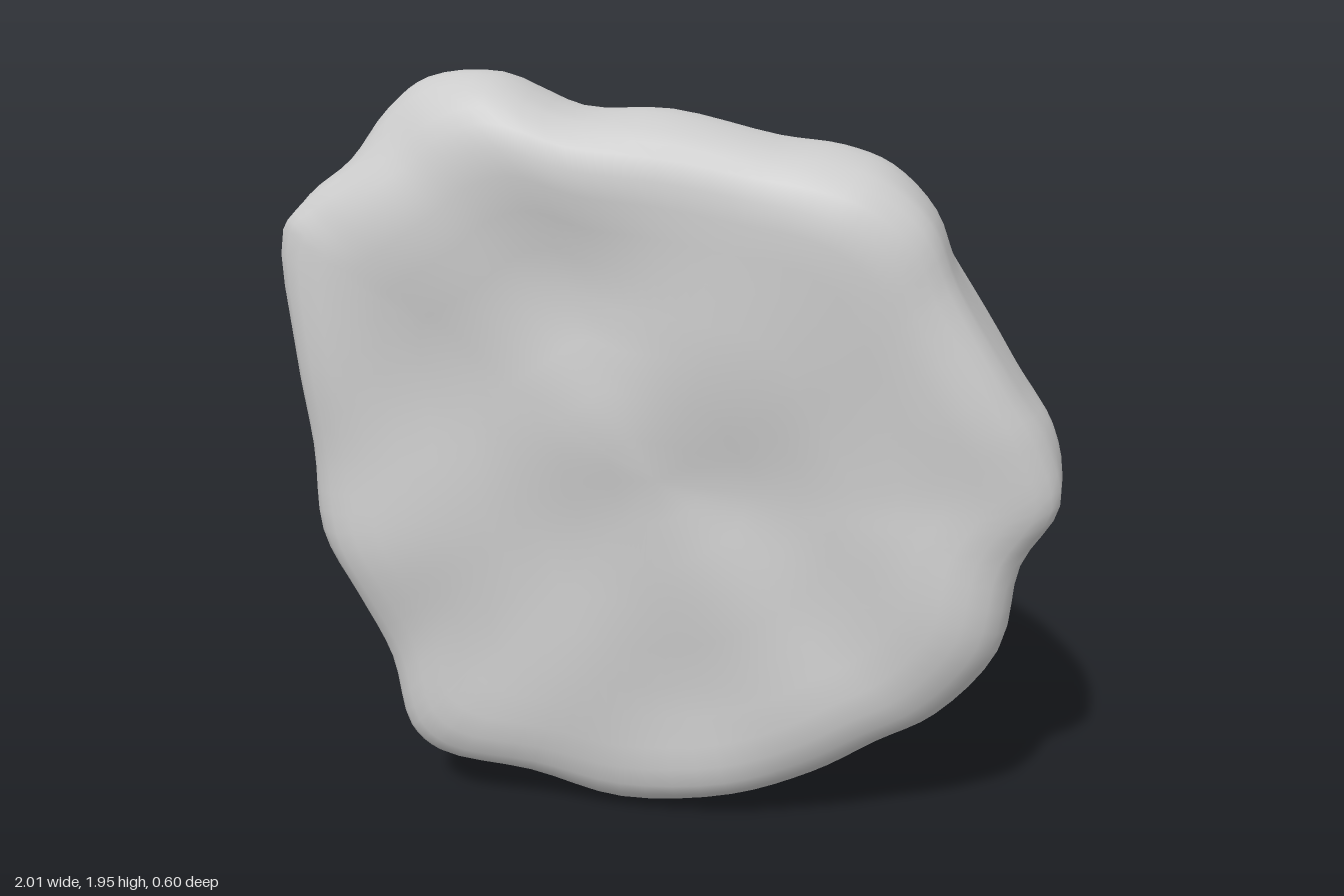
import * as THREE from 'three';

// Outlines of the slab at three depths, counter-clockwise (x, y), point for point
const MIDDLE = [
  [1, 0.95], [0.975, 1.1], [0.89, 1.22], [0.725, 1.47], [0.66, 1.63], [0.55, 1.74], [0.43, 1.785], [0.27, 1.805],
  [0, 1.865], [-0.23, 1.87], [-0.43, 1.95], [-0.61, 1.935], [-0.71, 1.865], [-0.81, 1.735], [-0.93, 1.64],
  [-1, 1.53], [-0.97, 1.25], [-0.935, 1], [-0.94, 0.75], [-0.84, 0.58], [-0.75, 0.4], [-0.71, 0.19],
  [-0.64, 0.12], [-0.37, 0.08], [-0.11, 0], [0.2, 0.05], [0.42, 0.14], [0.58, 0.25], [0.73, 0.34],
  [0.88, 0.54], [0.915, 0.78],
];
const FRONT = [
  [0.99, 0.94], [0.94, 1.1], [0.86, 1.23], [0.715, 1.47], [0.645, 1.62], [0.53, 1.71], [0.41, 1.75], [0.26, 1.775],
  [0, 1.82], [-0.23, 1.845], [-0.43, 1.9], [-0.57, 1.86], [-0.67, 1.78], [-0.78, 1.705], [-0.88, 1.64],
  [-0.955, 1.575], [-0.945, 1.25], [-0.92, 1], [-0.9, 0.77], [-0.815, 0.59], [-0.735, 0.41], [-0.69, 0.21],
  [-0.61, 0.14], [-0.36, 0.1], [-0.11, 0.045], [0.19, 0.08], [0.4, 0.165], [0.565, 0.27], [0.715, 0.36],
  [0.86, 0.55], [0.905, 0.78],
];
const BACK = [
  [0.915, 1], [0.9, 1.12], [0.85, 1.25], [0.72, 1.46], [0.62, 1.57], [0.52, 1.65], [0.41, 1.7], [0.26, 1.74],
  [0, 1.775], [-0.22, 1.8], [-0.41, 1.84], [-0.56, 1.845], [-0.69, 1.8], [-0.78, 1.7], [-0.84, 1.61],
  [-0.885, 1.49], [-0.905, 1.25], [-0.89, 1], [-0.87, 0.78], [-0.79, 0.6], [-0.72, 0.42], [-0.67, 0.24],
  [-0.59, 0.17], [-0.35, 0.13], [-0.1, 0.09], [0.18, 0.12], [0.39, 0.2], [0.54, 0.3], [0.69, 0.41],
  [0.835, 0.59], [0.885, 0.8],
];

// Cross-section from front centre, around the rim, to back centre (scale, z)
const SECTION = [
  [0, 0.255], [0.12, 0.255], [0.25, 0.255], [0.38, 0.255], [0.5, 0.257], [0.62, 0.262], [0.72, 0.27], [0.81, 0.273],
  [0.88, 0.268], [0.94, 0.25], [0.98, 0.225], [1, 0.19], [1, 0.15], [1, 0.1], [1, 0.05], [1, 0], [1, -0.06],
  [1, -0.12], [1, -0.17], [0.995, -0.21], [0.97, -0.24], [0.93, -0.262], [0.87, -0.277], [0.79, -0.282],
  [0.7, -0.278], [0.6, -0.27], [0.48, -0.263], [0.36, -0.26], [0.24, -0.26], [0.12, -0.26], [0, -0.26],
];

// Shallow hollows and swellings (x, y, radius, height)
const FRONT_BUMPS = [
  [-0.2, 1.52, 0.2, -0.02], [0.25, 0.92, 0.17, -0.025], [0, 0.25, 0.2, -0.03], [-0.5, 1.3, 0.22, -0.01],
  [-0.75, 0.72, 0.2, 0.025], [0.7, 0.7, 0.22, 0.02], [0.4, 1.3, 0.22, 0.02], [-0.1, 1.15, 0.2, 0.02],
];
const BACK_BUMPS = [
  [0.27, 1.2, 0.18, -0.03], [-0.36, 1.52, 0.15, -0.03], [-0.45, 1.1, 0.18, -0.01], [0.1, 0.6, 0.22, -0.01],
  [0.6, 0.65, 0.22, 0.022], [-0.6, 0.6, 0.2, 0.022], [0.5, 1.4, 0.18, 0.02], [-0.1, 1.1, 0.2, 0.02],
];

function relief(x, y, bumps, phase) {
  let h = 0.008 * Math.sin(9 * x + phase) * Math.sin(10 * y + 2 * x + phase);
  for (const [bx, by, r, a] of bumps) h += a * Math.exp(-((x - bx) ** 2 + (y - by) ** 2) / (r * r));
  return h;
}

function sampleOutline(points, n) {
  const curve = new THREE.CatmullRomCurve3(points.map(([x, y]) => new THREE.Vector3(x, y, 0)), true);
  return Array.from({ length: n }, (_, j) => curve.getPoint(j / n));
}

function slabGeometry(n = 124, cy = 0.97) {
  const [middle, front, back] = [MIDDLE, FRONT, BACK].map((points) => sampleOutline(points, n));
  const last = SECTION.length - 1;
  const positions = [], index = [];
  const p = new THREE.Vector3();

  SECTION.forEach(([s, z]) => {
    // Blend from the middle outline to the front or back one
    const blend = Math.min(1, Math.abs(z - 0.05) / (z > 0.05 ? 0.16 : 0.27)) ** 2;
    const end = z > 0.05 ? front : back;
    for (let j = 0; j < n; j++) {
      p.lerpVectors(middle[j], end[j], blend);
      const x = p.x * s;
      const y = cy + (p.y - cy) * s;
      const side = Math.min(1, Math.abs(z) / 0.25) ** 2;
      const h = z > 0 ? relief(x, y, FRONT_BUMPS, 0.5) : -relief(x, y, BACK_BUMPS, 2);
      positions.push(x, y, z + h * side);
    }
  });

  // Each end ring collapses to one shared centre point
  const id = (i, j) => i * n + (i === 0 || i === last ? 0 : j % n);
  for (let i = 0; i < last; i++) {
    for (let j = 0; j < n; j++) {
      const a = id(i, j), b = id(i, j + 1), c = id(i + 1, j), d = id(i + 1, j + 1);
      if (i < last - 1) index.push(a, c, d);
      if (i > 0) index.push(a, d, b);
    }
  }
  const geometry = new THREE.BufferGeometry();
  geometry.setAttribute('position', new THREE.Float32BufferAttribute(positions, 3));
  geometry.setIndex(index);
  geometry.computeVertexNormals();
  return geometry;
}

export function createModel() {
  const group = new THREE.Group();
  group.name = 'rock';
  const slab = new THREE.Mesh(slabGeometry(), new THREE.MeshStandardMaterial({ color: 0xcccccc }));
  slab.name = 'stoneSlab';
  group.add(slab);
  return group;
}
